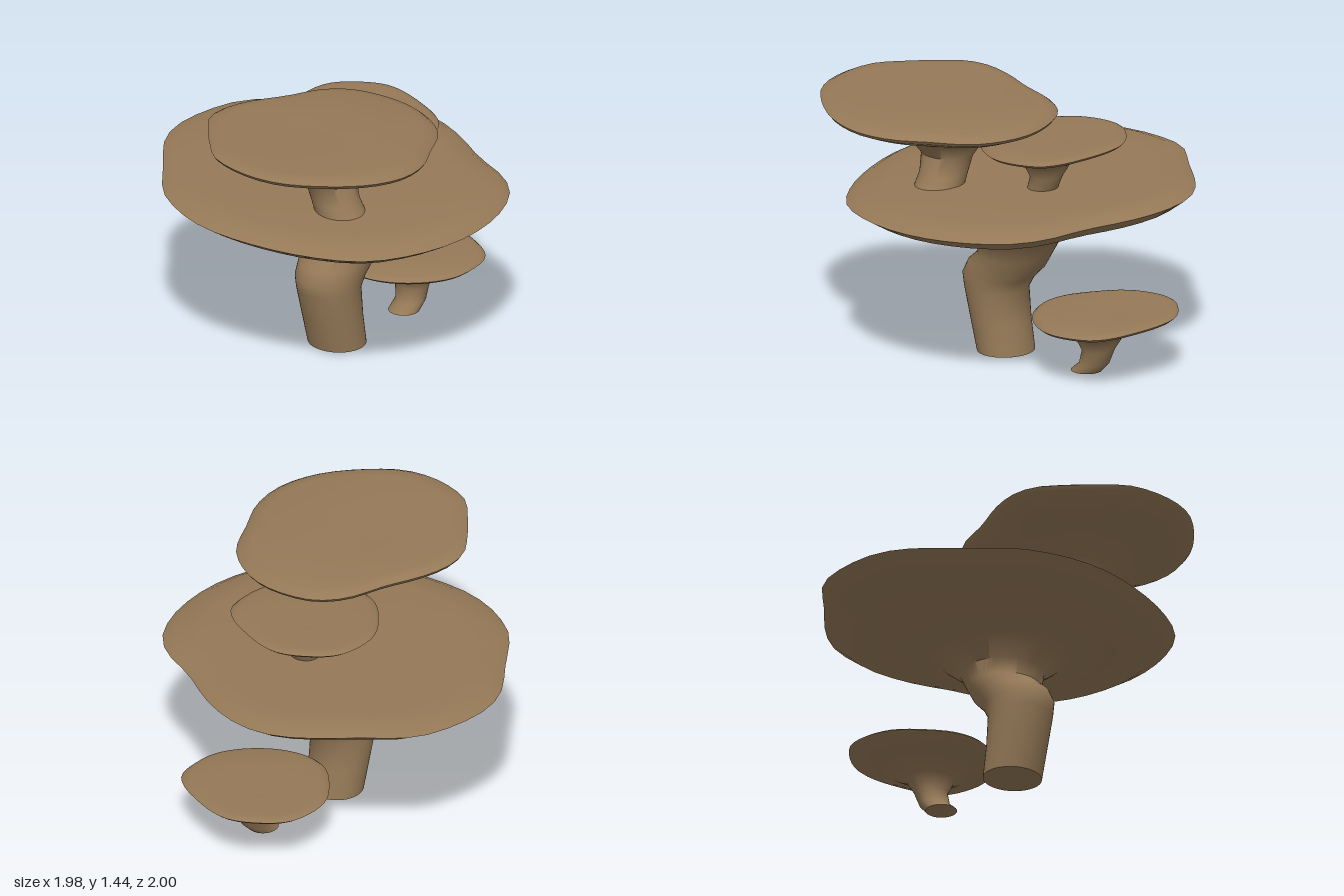
import * as THREE from 'three';
import { toCreasedNormals } from 'three/addons/utils/BufferGeometryUtils.js';

const SIDES = 48;

// One fungus: a bent stem of ellipses that flares into a cap with a free outline.
// stem: [x, y, z, rx, rz] from the foot up; outline: [x, z] seen from above, clockwise from the back;
// levels: [share of the way from stem to outline, y]; tilt: slope of the cap along x and z.
function fungusGeometry({ stem, outline, levels, tilt }) {
  const curve = new THREE.CatmullRomCurve3(
    outline.map(([x, z]) => new THREE.Vector3(x, 0, z)), true);
  const rim = curve.getSpacedPoints(SIDES).slice(0, SIDES);
  const box = new THREE.Box3().setFromPoints(rim);
  const mid = box.getCenter(new THREE.Vector3());
  const angles = rim.map(p => Math.atan2(p.z - mid.z, p.x - mid.x));

  const onStem = ([x, y, z, rx, rz], a) =>
    new THREE.Vector3(x + rx * Math.cos(a), y, z + rz * Math.sin(a));
  const neck = stem[stem.length - 1];

  const rings = stem.map(s => angles.map(a => onStem(s, a)));
  for (const [t, y] of levels) {
    rings.push(rim.map((p, i) => {
      const v = onStem(neck, angles[i]).lerp(p, t);
      v.y = y + t * (tilt[0] * (v.x - mid.x) + tilt[1] * (v.z - mid.z));
      return v;
    }));
  }

  // Close the foot and the top with a point in the middle
  const centreOf = ring => ring.reduce((s, p) => s.add(p), new THREE.Vector3()).divideScalar(SIDES);
  const points = [...rings.flat(), centreOf(rings[0]), centreOf(rings[rings.length - 1])];
  const foot = rings.length * SIDES, top = foot + 1, last = (rings.length - 1) * SIDES;
  const index = [];
  for (let i = 0; i < SIDES; i++) {
    const n = (i + 1) % SIDES;
    for (let j = 0; j < rings.length - 1; j++) {
      const a = j * SIDES + i, b = j * SIDES + n;
      index.push(a, a + SIDES, b, b, a + SIDES, b + SIDES);
    }
    index.push(foot, i, n, top, last + n, last + i);
  }
  const geometry = new THREE.BufferGeometry().setFromPoints(points);
  geometry.setIndex(index);
  return toCreasedNormals(geometry, 0.9);
}

export function createModel() {
  const model = new THREE.Group();
  model.name = 'shelfMushrooms';
  const brown = new THREE.MeshStandardMaterial({ color: 0x957957 });
  brown.name = 'mushroomBrown';

  const add = (name, geometry, x = 0, y = 0, z = 0) => {
    const mesh = new THREE.Mesh(geometry, brown);
    mesh.name = name;
    mesh.position.set(x, y, z);
    model.add(mesh);
  };

  // Main mushroom with the kinked stem and wide cap
  add('mainMushroom', fungusGeometry({
    stem: [
      [-0.01, 0.01, 0.105, 0.152, 0.165], [-0.045, 0.18, 0.105, 0.162, 0.168],
      [-0.075, 0.36, 0.105, 0.177, 0.175], [-0.06, 0.43, 0.105, 0.205, 0.182],
      [-0.008, 0.5, 0.1, 0.222, 0.192], [0.05, 0.57, 0.1, 0.2, 0.205],
      [0.07, 0.655, 0.105, 0.235, 0.222],
    ],
    outline: [
      [0.05, -1], [0.35, -0.94], [0.57, -0.74], [0.84, -0.47], [0.93, -0.3], [0.95, -0.1],
      [0.9, 0.14], [0.79, 0.4], [0.71, 0.66], [0.6, 0.81], [0.37, 0.94], [0.05, 1],
      [-0.27, 0.95], [-0.54, 0.81], [-0.71, 0.57], [-0.82, 0.28], [-0.87, 0], [-0.86, -0.17],
      [-0.82, -0.32], [-0.73, -0.5], [-0.5, -0.72], [-0.29, -0.91], [-0.14, -0.98],
    ],
    levels: [[0.17, 0.745], [0.5, 0.805], [0.88, 0.872], [1, 0.93], [0.91, 0.962], [0.7, 0.97], [0.2, 0.972]],
    tilt: [0.013, -0.04],
  }));

  // Upper mushroom growing from the main cap
  add('upperMushroom', fungusGeometry({
    stem: [
      [-0.26, 0.93, 0.38, 0.13, 0.15], [-0.26, 1.02, 0.33, 0.132, 0.13],
      [-0.26, 1.12, 0.3, 0.15, 0.125],
    ],
    outline: [
      [-0.47, -0.31], [-0.3, -0.28], [-0.1, -0.2], [0.12, -0.13], [0.25, -0.02], [0.32, 0.15],
      [0.34, 0.33], [0.3, 0.5], [0.2, 0.66], [0, 0.79], [-0.16, 0.89], [-0.35, 0.93],
      [-0.54, 0.89], [-0.72, 0.78], [-0.93, 0.55], [-0.99, 0.33], [-0.96, 0.1],
      [-0.87, -0.02], [-0.72, -0.18], [-0.6, -0.28],
    ],
    levels: [[0.13, 1.205], [0.5, 1.275], [0.8, 1.325], [0.97, 1.365], [1, 1.385], [0.94, 1.405], [0.82, 1.414], [0.2, 1.414]],
    tilt: [-0.05, -0.03],
  }));

  // Two equal small mushrooms, one on the ground and one on the main cap
  const small = fungusGeometry({
    stem: [
      [0.535, 0, 0.085, 0.085, 0.085], [0.588, 0.05, 0.085, 0.08, 0.085],
      [0.61, 0.13, 0.075, 0.082, 0.1],
    ],
    outline: [
      [0.63, -0.38], [0.77, -0.36], [0.9, -0.25], [0.98, -0.12], [0.99, 0], [0.96, 0.16],
      [0.91, 0.31], [0.84, 0.4], [0.72, 0.44], [0.56, 0.44], [0.4, 0.36], [0.27, 0.22],
      [0.21, 0.06], [0.23, -0.08], [0.33, -0.22], [0.47, -0.34],
    ],
    levels: [[0.13, 0.2], [0.47, 0.255], [0.93, 0.295], [1, 0.312], [0.95, 0.325], [0.84, 0.331], [0.2, 0.331]],
    tilt: [0.03, -0.04],
  });
  add('groundMushroom', small);
  add('capMushroom', small, -0.362, 0.91, 0);

  return model;
}
